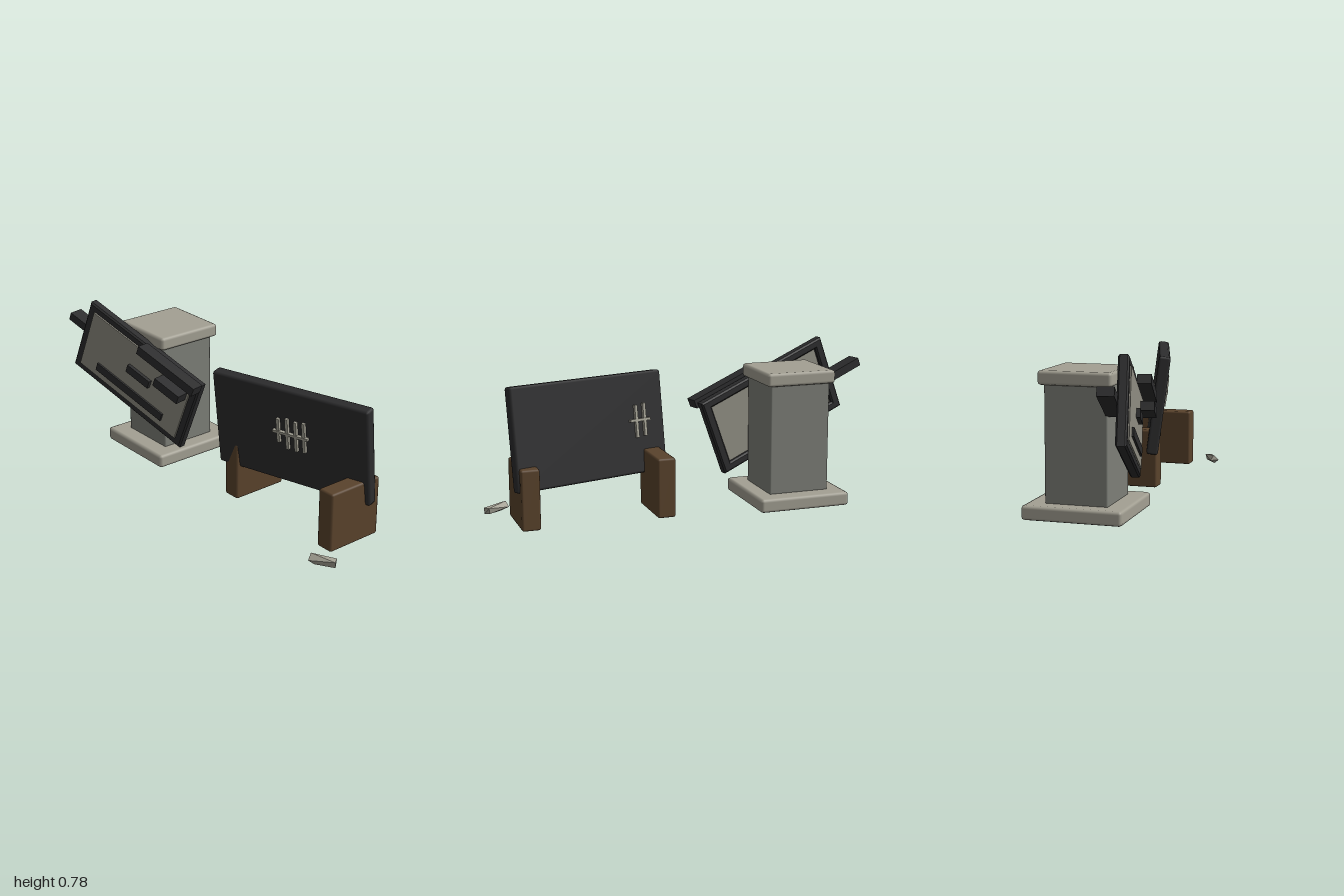
import * as THREE from 'three';
import { RoundedBoxGeometry } from 'three/addons/geometries/RoundedBoxGeometry.js';
import { ConvexGeometry } from 'three/addons/geometries/ConvexGeometry.js';

const material = (name, color, extra = {}) => {
  const m = new THREE.MeshStandardMaterial({ color, ...extra });
  m.name = name;
  return m;
};

export function createModel() {
  const stone = material('pale stone', 0xa3a093);
  const column = material('grey stone', 0x7d7f78);
  const plate = material('plate grey', 0x8f8d82);
  const dark = material('charcoal', 0x2c2c2d);
  const wood = material('brown wood', 0x5a432c);

  const root = new THREE.Group();
  root.name = 'signAndPedestal';

  const add = (parent, name, geometry, mat, x = 0, y = 0, z = 0) => {
    const mesh = new THREE.Mesh(geometry, mat);
    mesh.name = name;
    mesh.position.set(x, y, z);
    parent.add(mesh);
    return mesh;
  };
  const box = (w, h, d) => new THREE.BoxGeometry(w, h, d);
  const chamfered = (w, h, d, r) => new RoundedBoxGeometry(w, h, d, 1, r);

  // Pedestal: base slab, column and cap
  const pedestal = new THREE.Group();
  pedestal.name = 'pedestal';
  pedestal.position.set(-0.5, 0, -0.038);
  root.add(pedestal);
  add(pedestal, 'pedestalBase', chamfered(0.465, 0.068, 0.475, 0.015), stone, 0, 0.04, 0);
  add(pedestal, 'pedestalColumn', chamfered(0.31, 0.55, 0.3, 0.008), column, 0, 0.345, 0);
  add(pedestal, 'pedestalCap', chamfered(0.355, 0.066, 0.35, 0.015), stone, 0.002, 0.646, -0.001);

  // Tilted plaque: its local z = 0 is the front of the frame
  const plaque = new THREE.Group();
  plaque.name = 'plaque';
  plaque.position.set(-0.49, 0.45, 0.19);
  plaque.rotation.set(0, 0.21, -0.365);
  root.add(plaque);

  const rectangle = (P, w, h) => new P([
    new THREE.Vector2(-w / 2, -h / 2), new THREE.Vector2(w / 2, -h / 2),
    new THREE.Vector2(w / 2, h / 2), new THREE.Vector2(-w / 2, h / 2),
  ]);
  const outline = rectangle(THREE.Shape, 0.76, 0.385);
  outline.holes.push(rectangle(THREE.Path, 0.695, 0.33));
  const frame = new THREE.ExtrudeGeometry(outline, {
    depth: 0.034, bevelEnabled: true, bevelThickness: 0.008, bevelSize: 0.008, bevelSegments: 1,
  });
  add(plaque, 'plaqueFrame', frame, dark, 0, 0, -0.042);
  add(plaque, 'plaquePlate', box(0.69, 0.325, 0.036), plate, 0, 0, -0.012);

  // Dark bars on the plaque: name, x, y, length, height, back, front
  const bars = [
    ['longBar', 0.004, -0.103, 0.47, 0.042, 0, 0.016],
    ['middleBar', 0.036, 0.022, 0.155, 0.042, 0, 0.025],
    ['knobBar', 0.251, 0.102, 0.165, 0.044, 0, 0.072],
    ['topBar', 0.207, 0.194, 0.38, 0.045, 0, 0.066],
    ['mountingBar', -0.33, 0.003, 0.396, 0.042, -0.12, -0.045],
  ];
  for (const [name, x, y, w, h, back, front] of bars) {
    add(plaque, name, box(w, h, front - back), dark, x, y, (back + front) / 2);
  }

  // Leaning board
  const board = new THREE.Group();
  board.name = 'board';
  board.position.set(0.515, 0.424, 0.01);
  board.rotation.set(0.13, 0.28, 0, 'YXZ');
  root.add(board);
  add(board, 'boardPanel', chamfered(0.83, 0.495, 0.058, 0.012), dark);

  // Scratch marks on both faces: upright strokes crossed by one bar
  const addMarks = (name, x, y, z, strokes, crossWidth) => {
    const marks = new THREE.Group();
    marks.name = name;
    marks.position.set(x, y, z);
    board.add(marks);
    for (const [sx, bottom, top] of strokes) {
      add(marks, 'stroke', box(0.015, top - bottom, 0.022), stone, sx, (top + bottom) / 2, 0);
    }
    add(marks, 'crossStroke', box(crossWidth, 0.013, 0.026), stone, 0.005, 0, 0);
  };
  addMarks('frontMarks', 0.005, 0.025, 0.033,
    [[-0.06, -0.055, 0.07], [-0.012, -0.08, 0.08], [0.034, -0.08, 0.075], [0.078, -0.075, 0.08]], 0.19);
  addMarks('backMarks', -0.275, 0.015, -0.033,
    [[-0.022, -0.08, 0.08], [0.025, -0.085, 0.075]], 0.115);

  // Wooden feet
  for (const [name, x] of [['rightFoot', 0.185], ['leftFoot', 0.845]]) {
    add(root, name, chamfered(0.09, 0.292, 0.293, 0.01), wood, x, 0.151, -0.038);
  }

  // Loose stone chip
  const chip = [
    [0.872, 0.02, 0.21], [0.885, 0.048, 0.225], [0.895, 0.022, 0.25], [0.91, 0, 0.225],
    [0.98, 0.035, 0.155], [1, 0.034, 0.185], [0.998, 0.004, 0.18], [0.975, 0.006, 0.165],
  ].map((p) => new THREE.Vector3(...p));
  const chipStone = material('chip stone', 0xa3a093, { flatShading: true });
  add(root, 'stoneChip', new ConvexGeometry(chip), chipStone);

  return root;
}
